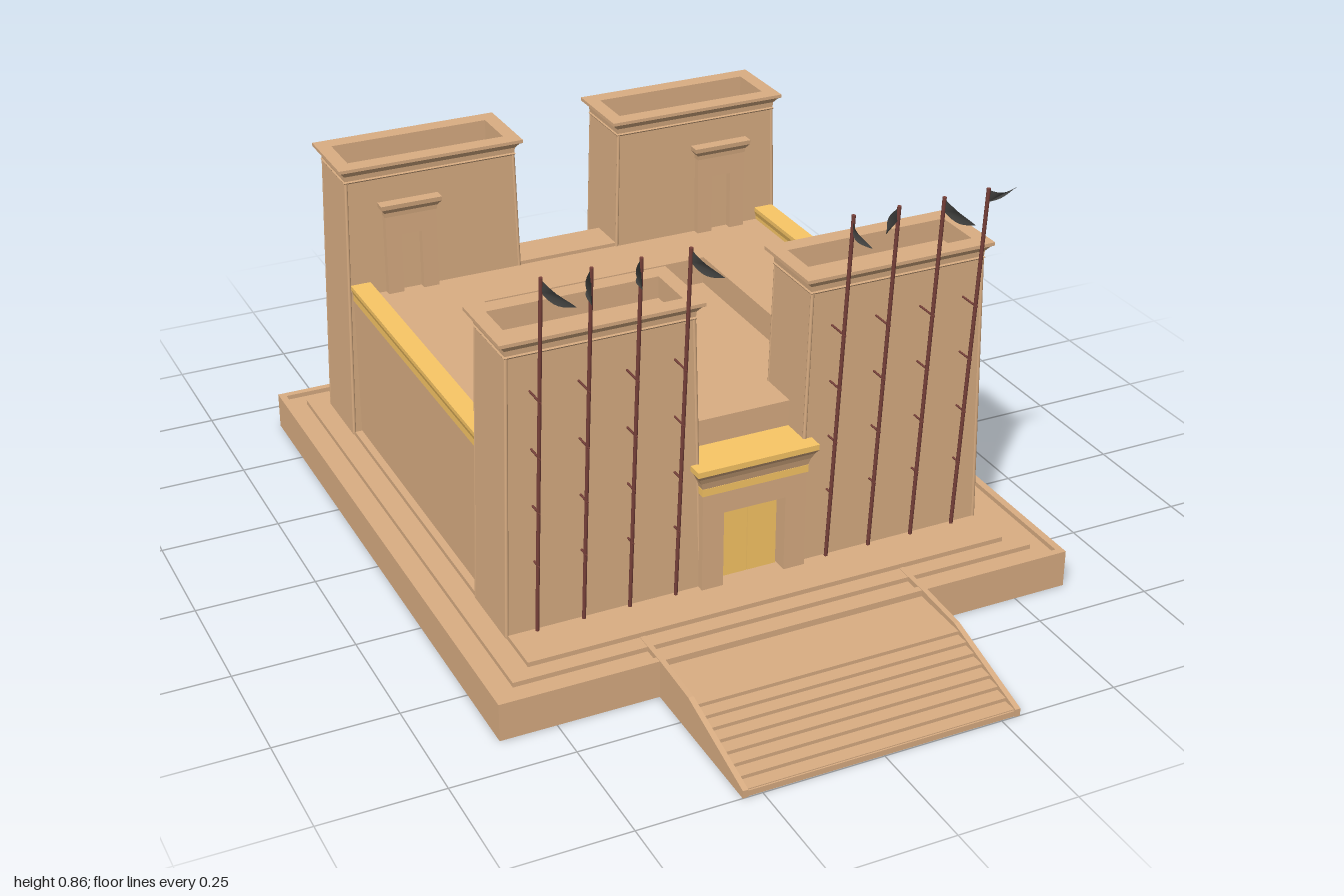
import * as THREE from 'three';

const mat = (color, extra = {}) => new THREE.MeshStandardMaterial({ color, ...extra });
const stone = mat(0xdaae83);
const shell = mat(0xdaae83, { side: THREE.DoubleSide });
const gold = mat(0xfac766);
const wood = mat(0x7a423b);
const cloth = mat(0x40403e, { side: THREE.DoubleSide });

function add(parent, name, geometry, material, x = 0, y = 0, z = 0) {
  const mesh = new THREE.Mesh(geometry, material);
  mesh.name = name;
  mesh.position.set(x, y, z);
  parent.add(mesh);
  return mesh;
}

// Box given by its limits on each axis
function box(parent, name, material, x0, x1, y0, y1, z0, z1) {
  return add(parent, name, new THREE.BoxGeometry(x1 - x0, y1 - y0, z1 - z0), material,
    (x0 + x1) / 2, (y0 + y1) / 2, (z0 + z1) / 2);
}

// Stack of rectangles [y, half width, half depth], closed above and optionally below
function loft(rings, bottom = true) {
  const corners = rings.map(([y, w, d]) =>
    [[w, y, d], [w, y, -d], [-w, y, -d], [-w, y, d]]);
  const pos = [];
  const quad = (a, b, c, d) => pos.push(...a, ...b, ...c, ...a, ...c, ...d);
  for (let r = 0; r + 1 < rings.length; r++) {
    const lo = corners[r], hi = corners[r + 1];
    for (let i = 0; i < 4; i++) {
      const j = (i + 1) % 4;
      quad(lo[i], lo[j], hi[j], hi[i]);
    }
  }
  quad(...corners[corners.length - 1]);
  if (bottom) quad(...corners[0].slice().reverse());
  const geo = new THREE.BufferGeometry();
  geo.setAttribute('position', new THREE.Float32BufferAttribute(pos, 3));
  geo.computeVertexNormals();
  return geo;
}

// Round bar between two points
function bar(parent, name, material, a, b, radius, sides = 8) {
  const from = new THREE.Vector3(...a), to = new THREE.Vector3(...b);
  const dir = to.clone().sub(from);
  const mesh = add(parent, name, new THREE.CylinderGeometry(radius, radius, dir.length(), sides), material);
  mesh.position.copy(from).add(to).multiplyScalar(0.5);
  mesh.quaternion.setFromUnitVectors(new THREE.Vector3(0, 1, 0), dir.normalize());
}

// Tapered tower with hollow cavetto top and rolled corners
function tower(side) {
  const g = new THREE.Group();
  g.name = 'tower';
  g.position.x = side * 0.3125;
  add(g, 'towerBody', loft([
    [0.085, 0.207, 0.079], [0.673, 0.191, 0.075], [0.676, 0.193, 0.077], [0.679, 0.191, 0.075],
    [0.69, 0.192, 0.076], [0.7, 0.2, 0.083], [0.703, 0.206, 0.088],
    [0.71, 0.206, 0.088], [0.71, 0.175, 0.052], [0.665, 0.175, 0.052],
  ]), stone);
  for (const sx of [-1, 1]) for (const sz of [-1, 1])
    bar(g, 'cornerRoll', stone, [sx * 0.204, 0.088, sz * 0.077], [sx * 0.188, 0.674, sz * 0.073], 0.004);

  // Small roof doorway on the inner face
  const door = new THREE.Group();
  door.name = 'roofDoorway';
  door.position.x = side * 0.055;
  for (const s of [-1, 1])
    add(door, 'doorJamb', new THREE.BoxGeometry(0.035, 0.18, 0.025), stone, s * 0.04, 0.5, -0.08);
  box(door, 'doorLintel', stone, -0.0575, 0.0575, 0.545, 0.59, -0.0925, -0.067);
  add(door, 'doorCornice', loft([
    [0.59, 0.058, 0.013], [0.6, 0.059, 0.014], [0.61, 0.067, 0.021], [0.62, 0.068, 0.022],
  ]), stone, 0, 0, -0.08);
  g.add(door);
  return g;
}

// Gateway between two towers, with gilded doors and cornice
function gateway() {
  const g = new THREE.Group();
  g.name = 'gateway';
  box(g, 'linkWall', stone, -0.125, 0.125, 0.085, 0.42, -0.075, 0.015);
  for (const s of [-1, 1])
    add(g, 'gateJamb', new THREE.BoxGeometry(0.046, 0.215, 0.08), stone, s * 0.09, 0.1925, 0.055);
  box(g, 'gateLintel', stone, -0.113, 0.113, 0.255, 0.302, 0.015, 0.095);
  for (const s of [-1, 1])
    add(g, 'gateLeaf', new THREE.BoxGeometry(0.063, 0.168, 0.02), gold, s * 0.0325, 0.17, 0.055);
  add(g, 'gateBand', loft([[0.302, 0.115, 0.042], [0.318, 0.115, 0.042]]), gold, 0, 0, 0.055);
  add(g, 'gateCavetto', loft([[0.317, 0.114, 0.041], [0.333, 0.119, 0.045], [0.345, 0.125, 0.05],
    [0.353, 0.131, 0.055]]), stone, 0, 0, 0.055);
  add(g, 'gateCornice', loft([[0.353, 0.131, 0.055], [0.365, 0.131, 0.055]]), gold, 0, 0, 0.055);
  return g;
}

// Stair flight with sloping side walls, rising towards the base
function stairs() {
  const g = new THREE.Group();
  g.name = 'stairs';
  const n = 8;
  for (let i = 0; i < n; i++)
    box(g, 'step', stone, -0.281, 0.281, 0, 0.014 + i * 0.0075, 0.65, 0.995 - i * 0.0285);
  const profile = new THREE.Shape();
  [[0.565, 0], [1, 0], [1, 0.016], [0.78, 0.075], [0.66, 0.081], [0.565, 0.081]].forEach(([z, y], i) =>
    i ? profile.lineTo(-z, y) : profile.moveTo(-z, y));
  for (const x of [-0.29, 0.279]) {
    const wall = add(g, 'stairWall', new THREE.ExtrudeGeometry(profile, { depth: 0.011, bevelEnabled: false }), stone, x);
    wall.rotation.y = Math.PI / 2;
  }
  return g;
}

// Leaning mast held by brackets, with a curling pennant
function flagpole(x, angle, droop) {
  const g = new THREE.Group();
  g.name = 'flagpole';
  g.position.x = x;
  const zAt = y => 0.48 + (y - 0.088) * 0.072;
  bar(g, 'mast', wood, [0, 0.088, zAt(0.088)], [0, 0.855, zAt(0.855)], 0.004);
  for (const y of [0.24, 0.36, 0.48, 0.6])
    bar(g, 'bracket', wood, [0, y, 0.465], [0, y, zAt(y) + 0.006], 0.0022, 6);
  const s = new THREE.Shape();
  s.moveTo(0, 0.012);
  s.quadraticCurveTo(0.025, -droop * 0.2, 0.062, -droop);
  s.quadraticCurveTo(0.03, -droop * 0.8 - 0.008, 0, -0.014);
  const geo = new THREE.ShapeGeometry(s, 8);
  const p = geo.attributes.position;
  for (let i = 0; i < p.count; i++) p.setZ(i, 0.008 * Math.sin(p.getX(i) * 70));
  geo.computeVertexNormals();
  add(g, 'pennant', geo, cloth, 0, 0.84, zAt(0.84)).rotation.y = angle;
  return g;
}

export function createModel() {
  const root = new THREE.Group();
  root.name = 'temple';

  // Base with a shallow channel inside its rim, open below, and the slab that carries both stairs
  add(root, 'base', loft([
    [0, 0.615, 0.66], [0.08, 0.615, 0.66], [0.08, 0.6, 0.645], [0.07, 0.6, 0.645],
    [0.07, 0.565, 0.607], [0.08, 0.565, 0.607], [0.08, 0.52, 0.572], [0.09, 0.52, 0.572],
  ], false), shell);
  box(root, 'stairSlab', stone, -0.285, 0.285, 0, 0.012, -0.998, 0.998);
  for (const turn of [0, Math.PI]) {
    const flight = stairs();
    flight.rotation.y = turn;
    root.add(flight);
  }

  // Front and rear pairs of towers with their gateways
  for (const [z, turn] of [[0.395, 0], [-0.482, Math.PI]]) {
    const end = new THREE.Group();
    end.name = turn ? 'rearPylon' : 'frontPylon';
    end.position.set(-0.005, 0, z);
    end.rotation.y = turn;
    end.add(tower(1), tower(-1), gateway());
    root.add(end);
  }

  // Side walls with gilded coping
  for (const s of [-1, 1]) {
    const x = s * 0.483 - 0.004;
    add(root, 'sideWall', new THREE.BoxGeometry(0.034, 0.325, 0.75), stone, x, 0.2475, -0.043);
    add(root, 'wallCoping', loft([[0.405, 0.018, 0.37], [0.42, 0.018, 0.37], [0.432, 0.022, 0.37],
      [0.441, 0.022, 0.37]]), gold, x, 0, -0.043);
  }

  // Roof with its sunken court
  const rect = (x, z0, z1) => [[-x, z0], [x, z0], [x, z1], [-x, z1]].map(p => new THREE.Vector2(...p));
  const roof = new THREE.Shape(rect(0.475, -0.325, 0.41));
  roof.holes.push(new THREE.Path(rect(0.26, -0.17, 0.27)));
  add(root, 'roof', new THREE.ExtrudeGeometry(roof, { depth: 0.067, bevelEnabled: false }), stone, 0, 0.345)
    .rotation.x = -Math.PI / 2;
  box(root, 'courtFloor', stone, -0.27, 0.27, 0.335, 0.35, -0.28, 0.18);

  // Masts: x, pennant direction, droop
  const masts = [
    [-0.462, -0.5, 0.045], [-0.365, -2.1, 0.03], [-0.268, -2.1, 0.02], [-0.17, -0.6, 0.045],
    [0.163, -1.57, 0.03], [0.26, -2.6, 0.018], [0.358, -0.5, 0.045], [0.455, -0.2, -0.008],
  ];
  for (const m of masts) root.add(flagpole(...m));
  return root;
}
